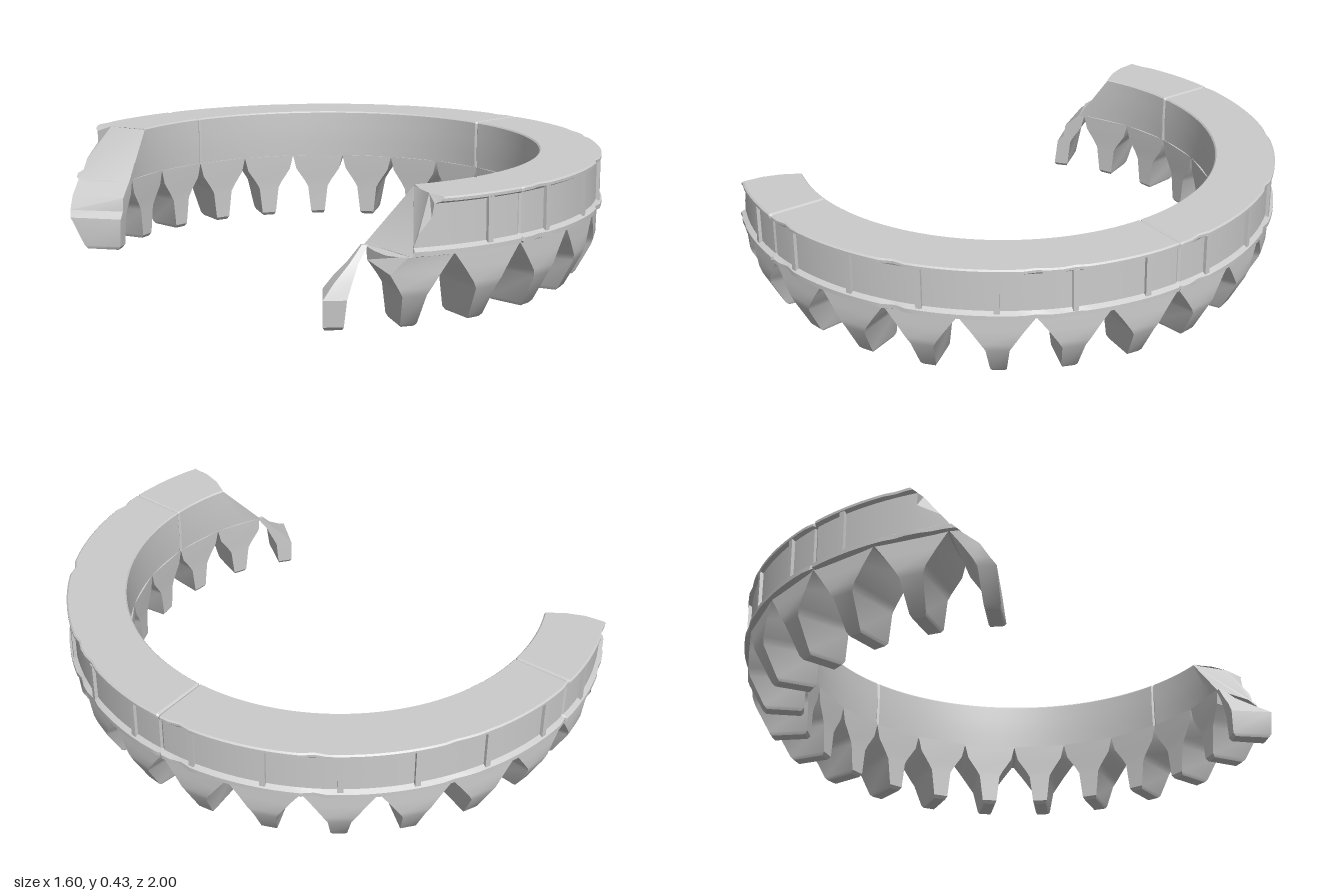
import * as THREE from 'three';
import { toCreasedNormals } from 'three/addons/utils/BufferGeometryUtils.js';

const material = new THREE.MeshStandardMaterial({ color: 0xcccccc });
const lerp = THREE.MathUtils.lerp;

// Point on the ring: radius, height, angle in degrees (90 faces the front)
function polar(r, y, deg) {
  const a = THREE.MathUtils.degToRad(deg);
  return [r * Math.cos(a), y, r * Math.sin(a)];
}

// Piecewise linear lookup in [[key, value], ...] with rising keys
function ramp(table, k) {
  for (let i = 1; i < table.length; i++) {
    const [k0, v0] = table[i - 1], [k1, v1] = table[i];
    if (k <= k1) return lerp(v0, v1, Math.max(0, (k - k0) / (k1 - k0)));
  }
  return table[table.length - 1][1];
}

// Skin a row of equal loops and close both ends
function loft(name, loops, contour) {
  const n = loops[0].length, pos = loops.flat(2), index = [];
  for (let i = 0; i < loops.length - 1; i++) {
    for (let j = 0; j < n; j++) {
      const a = i * n + j, b = i * n + (j + 1) % n;
      index.push(a, b, b + n, a, b + n, a + n);
    }
  }
  const last = (loops.length - 1) * n;
  const outline = contour.map(([x, y]) => new THREE.Vector2(x, y));
  for (const [a, b, c] of THREE.ShapeUtils.triangulateShape(outline, [])) {
    index.push(a, c, b, last + a, last + b, last + c);
  }
  const geo = new THREE.BufferGeometry();
  geo.setAttribute('position', new THREE.Float32BufferAttribute(pos, 3));
  geo.setIndex(index);
  const mesh = new THREE.Mesh(toCreasedNormals(geo, 0.45), material);
  mesh.name = name;
  return mesh;
}

// Broken ends: furthest angle that survives at a given height and radius
const jag = (y, r) => 0.7 * Math.sin(y * 70 + r * 25);
const frontTear = (y, r) => {
  const t = (r - 0.775) / 0.215;
  return ramp([[0.1, 140], [0.19, lerp(123, 117, t)], [0.24, lerp(120.5, 114.5, t)],
    [0.32, lerp(112, 111, t)], [0.425, 108]], y) + jag(y, r);
};
const backTear = (y, r) => ramp([[0, 130], [0.12, 128], [0.19, 125.5], [0.24, 122.5],
  [0.3, 118.5], [0.36, 114], [0.425, 113]], y) + jag(y, r);
const clip = (deg, y, r) => Math.max(-backTear(y, r), Math.min(frontTear(y, r), deg));

// Band cross-section (radius, height): recessed outer wall between two rims
const profile = [
  [0.775, 0.24], [0.85, 0.237], [0.92, 0.237], [0.98, 0.24], [0.998, 0.245], [0.998, 0.26],
  [0.98, 0.27], [0.98, 0.31], [0.98, 0.36], [0.98, 0.404], [0.994, 0.411], [0.994, 0.42],
  [0.988, 0.425], [0.92, 0.425], [0.85, 0.425], [0.78, 0.425],
  [0.775, 0.42], [0.773, 0.36], [0.773, 0.3],
];

// One band segment; seam ends are pinched to make a groove
function bandSegment(from, to, seamFrom, seamTo) {
  const steps = Math.round(Math.abs(to - from) / 2.5);
  const angles = [from, from + 0.5];
  for (let i = 1; i < steps; i++) angles.push(lerp(from, to, i / steps));
  angles.push(to - 0.5, to);
  const loops = angles.map((deg, i) => {
    const pinch = (i === 0 && seamFrom) || (i === angles.length - 1 && seamTo) ? 0.95 : 1;
    // Occasional worn spots along the rims
    const wear = 0.012 * Math.max(0, Math.sin(deg * 0.9) + Math.sin(deg * 2.3 + 1) - 1.1);
    return profile.map(([r, y]) => {
      const rr = 0.885 + (r - (r > 0.985 ? wear : 0) - 0.885) * pinch;
      const yy = 0.33 + (y - 0.33) * pinch;
      return polar(rr, yy, clip(deg, y, r));
    });
  });
  return loft('bandSegment', loops, profile);
}

// Tooth levels: height, inner radius, outer radius, half width (0 = full pitch)
const PITCH = 15;
const toothLevels = [
  [0, 0.785, 0.905, 0.022], [0.012, 0.776, 0.917, 0.028], [0.115, 0.775, 0.972, 0.04],
  [0.14, 0.775, 0.98, 0.054], [0.19, 0.775, 0.982, 0.088], [0.245, 0.775, 0.985, 0],
];
const square = [[0, 0], [1, 0], [1, 1], [0, 1]];

function tooth(mid) {
  const loops = toothLevels.map(([y, r0, r1, w]) => {
    const corner = (side, r) => {
      const half = w ? Math.min(PITCH / 2, THREE.MathUtils.radToDeg(w / r)) : PITCH / 2;
      return polar(r, y, clip(mid + side * half, y, r));
    };
    return [corner(-1, r0), corner(1, r0), corner(1, r1), corner(-1, r1)];
  });
  return loft('tooth', loops, square);
}

// Thin remnant of the last front tooth: height, start, end, inner and outer radius
function brokenTooth() {
  const levels = [
    [0, 125.7, 129.2, 0.785, 0.905], [0.012, 125.4, 129.5, 0.776, 0.917],
    [0.1, 124.8, 129.5, 0.775, 0.925], [0.14, 123.4, 127.2, 0.775, 0.87],
    [0.19, 121.6, 123.6, 0.775, 0.82], [0.242, 119, 120.5, 0.775, 0.79],
  ];
  const loops = levels.map(([y, a, b, r0, r1]) =>
    [polar(r0, y, a), polar(r0, y, b), polar(r1, y, b), polar(r1, y, a)]);
  return loft('brokenTooth', loops, square);
}

export function createModel() {
  const ring = new THREE.Group();
  ring.name = 'brokenRing';
  ring.position.x = -0.21;

  // Upper band in four segments
  ring.add(
    bandSegment(-124, -90, false, true),
    bandSegment(-90, 0, true, true),
    bandSegment(0, 90, true, true),
    bandSegment(90, 122, true, false),
  );

  // Teeth hanging below the band
  for (let i = -9; i < 8; i++) ring.add(tooth((i + 0.5) * PITCH));
  ring.add(brokenTooth());

  // Upright ribs on the outer wall
  const ribGeometry = new THREE.BoxGeometry(0.024, 0.15, 0.02);
  for (let i = -7; i < 7; i++) {
    const deg = (i + 0.5) * PITCH;
    const rib = new THREE.Mesh(ribGeometry, material);
    rib.name = 'rib';
    rib.position.set(...polar(0.98, 0.335, deg));
    rib.rotation.y = -THREE.MathUtils.degToRad(deg);
    ring.add(rib);
  }

  const model = new THREE.Group();
  model.name = 'model';
  model.add(ring);
  return model;
}
